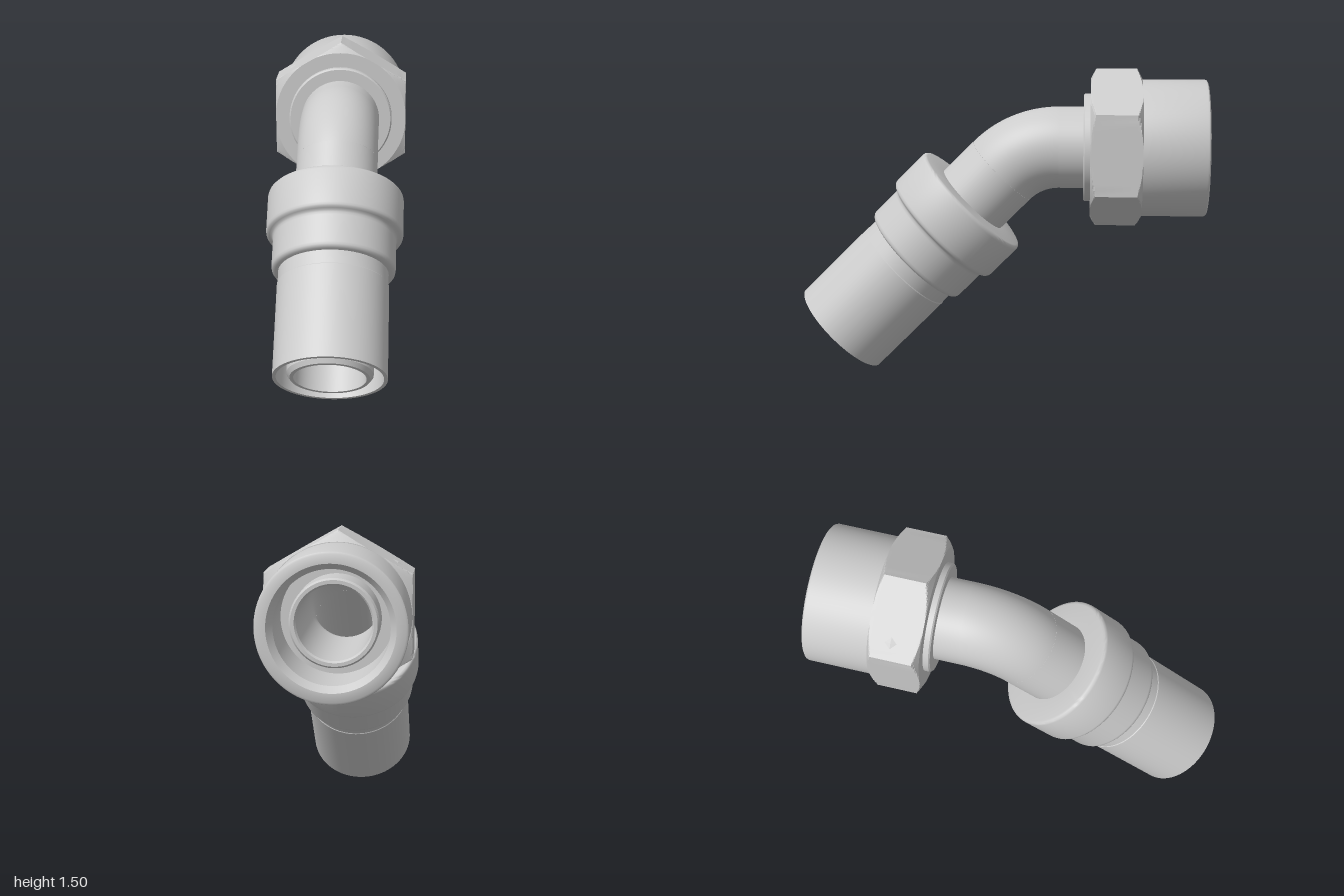
import * as THREE from 'three';
import { toCreasedNormals } from 'three/addons/utils/BufferGeometryUtils.js';

const SEG = 96;
const TUBE_R = 0.2, BORE_R = 0.168, BEND_R = 0.4;
const AXIS_Y = 1.12, BEND_Z = -0.28;
const material = new THREE.MeshStandardMaterial({ color: 0xcccccc });
const twoSided = new THREE.MeshStandardMaterial({ color: 0xcccccc, side: THREE.DoubleSide });

function add(parent, name, geometry, mat = material) {
  const mesh = new THREE.Mesh(geometry, mat);
  mesh.name = name;
  parent.add(mesh);
  return mesh;
}

// Closed profile of [radius, height] pairs, outer wall running upwards
function turned(profile, segments = SEG) {
  const points = [...profile, profile[0]].map(([r, y]) => new THREE.Vector2(r, y));
  return new THREE.LatheGeometry(points, segments);
}
const crease = (geometry) => toCreasedNormals(geometry, 0.6);

// Hexagon cut out of a turned blank, so its corners get curved chamfers
function hexNut(y0, y1, flat, hole) {
  const low = 0.338, high = 0.389, rise = 0.026, steps = 6;
  const profile = [[hole, y0]];
  for (let i = 0; i <= steps; i++) {
    const t = i / steps;
    profile.push([low + (high - low) * t, y0 + rise * t]);
  }
  for (let i = steps; i >= 0; i--) {
    const t = i / steps;
    profile.push([low + (high - low) * t, y1 - rise * t]);
  }
  profile.push([hole, y1]);
  const geometry = turned(profile);
  const p = geometry.attributes.position;
  const sector = Math.PI / 3;
  for (let i = 0; i < p.count; i++) {
    const r = Math.hypot(p.getX(i), p.getZ(i));
    const a = Math.atan2(p.getX(i), p.getZ(i)) + 2 * Math.PI;
    const limit = flat / Math.cos((a % sector) - sector / 2);
    const k = Math.min(1, limit / r);
    p.setX(i, p.getX(i) * k);
    p.setZ(i, p.getZ(i) * k);
  }
  return toCreasedNormals(geometry, 0.35);
}

export function createModel() {
  const model = new THREE.Group();
  model.name = 'elbowFitting';

  // Lower end: its y axis runs up the slanted pipe
  const lower = new THREE.Group();
  lower.name = 'hoseEnd';
  lower.position.set(0, 0.193, 0.813);
  lower.rotation.x = -Math.PI / 4;
  model.add(lower);

  add(lower, 'sleeve', crease(turned([
    [0.248, 0], [0.265, 0], [0.265, 0.458], [0.262, 0.462], [0.262, 0.528],
    [0.276, 0.53], [0.287, 0.535], [0.293, 0.543], [0.295, 0.555],
    [0.295, 0.695], [0.297, 0.707], [0.303, 0.715], [0.313, 0.719],
    [0.323, 0.724], [0.328, 0.731], [0.33, 0.742],
    [0.33, 0.92], [0.328, 0.93], [0.322, 0.937], [0.312, 0.94],
    [0.195, 0.94], [0.195, 0.6], [0.248, 0.6],
  ])));
  add(lower, 'lowerTube', crease(turned([
    [BORE_R, 0], [0.185, 0], [TUBE_R, 0.02], [TUBE_R, 1.145], [BORE_R, 1.145],
  ])));

  // 45 degree bend, outer and inner wall
  for (const [name, r] of [['bendOuter', TUBE_R], ['bendBore', BORE_R]]) {
    const bend = new THREE.TorusGeometry(BEND_R, r, SEG, 32, Math.PI / 4);
    bend.rotateZ(Math.PI / 4).rotateY(-Math.PI / 2);
    add(model, name, bend, twoSided).position.set(0, AXIS_Y - BEND_R, BEND_Z);
  }

  // Upper end: its y axis runs towards the back
  const upper = new THREE.Group();
  upper.name = 'nutEnd';
  upper.position.y = AXIS_Y;
  upper.rotation.x = -Math.PI / 2;
  model.add(upper);

  add(upper, 'upperTube', crease(turned([
    [BORE_R, 0.28], [TUBE_R, 0.28], [TUBE_R, 0.85], [0.192, 0.86], [0.176, 0.86], [BORE_R, 0.85],
  ])));
  add(upper, 'collarRing', crease(turned([
    [0.195, 0.4], [0.258, 0.4], [0.265, 0.407], [0.265, 0.46], [0.195, 0.46],
  ])));
  add(upper, 'hexNut', hexNut(0.433, 0.683, 0.336, 0.255));
  add(upper, 'nutBarrel', crease(turned([
    [0.195, 0.66], [0.335, 0.66], [0.335, 0.985], [0.332, 0.994], [0.323, 1],
    [0.282, 1], [0.255, 0.965], [0.255, 0.7], [0.195, 0.7],
  ])));

  // Small diamond mark on the upper right flat
  const diamond = new THREE.ConeGeometry(0.036, 0.006, 4).toNonIndexed();
  diamond.computeVertexNormals();
  const mark = add(model, 'diamondMark', diamond);
  mark.position.set(-0.265, AXIS_Y + 0.237, -0.57);
  mark.rotation.z = Math.PI / 6;

  return model;
}
